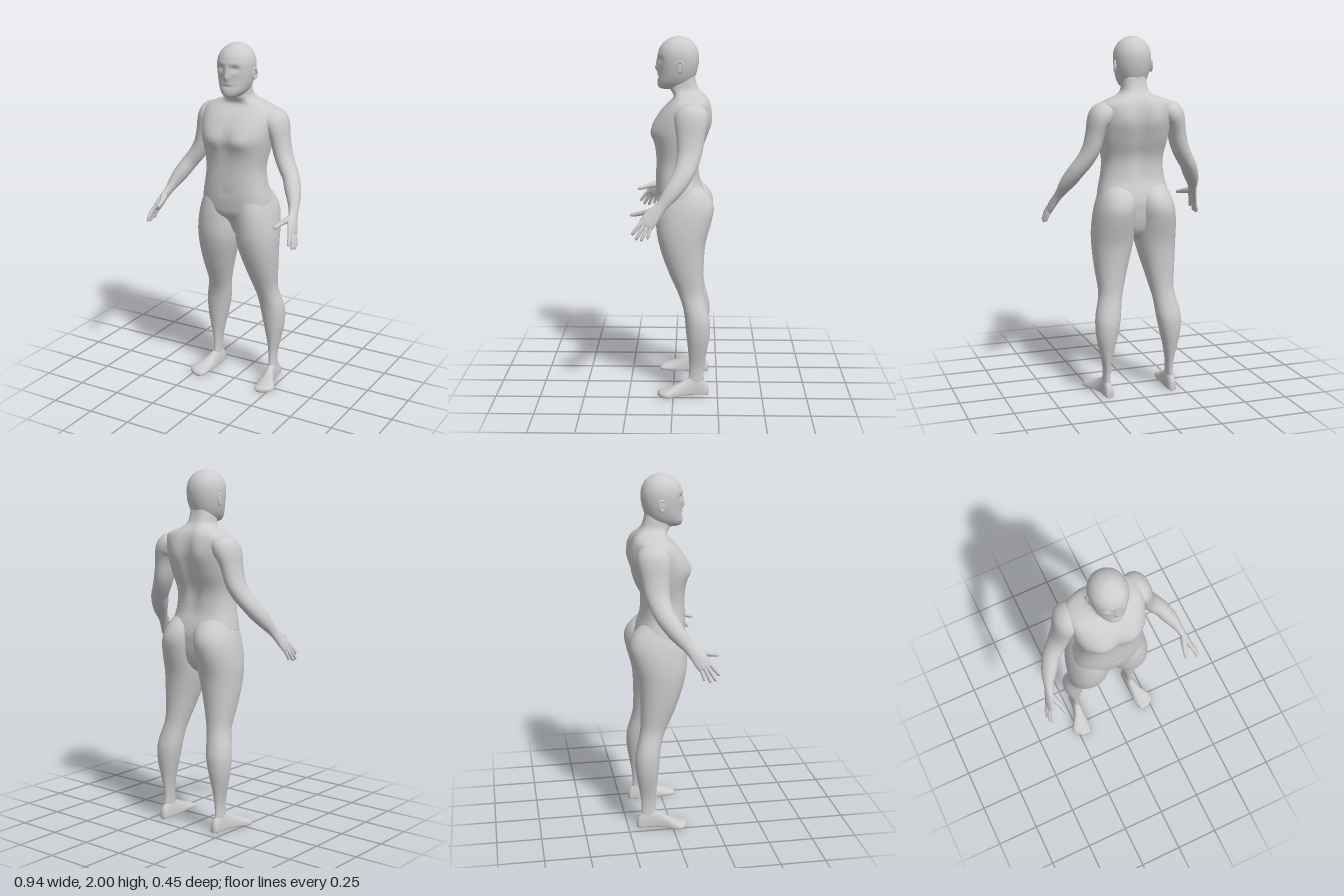
import * as THREE from 'three';

const V = (x, y, z) => new THREE.Vector3(x, y, z);
const bell = (d, width) => Math.exp(-((d / width) ** 2));

// Catmull-Rom refinement of rows of numbers, column by column
function refine(rows, steps) {
  const out = [];
  const at = i => rows[Math.max(0, Math.min(rows.length - 1, i))];
  for (let i = 0; i < rows.length - 1; i++) {
    for (let k = 0; k < steps; k++) {
      const t = k / steps;
      out.push(rows[i].map((b, c) => {
        const a = at(i - 1)[c], d = at(i + 1)[c], e = at(i + 2)[c];
        return 0.5 * (2 * b + (d - a) * t + (2 * a - 5 * b + 4 * d - e) * t * t + (3 * b - a - 3 * d + e) * t ** 3);
      }));
    }
  }
  out.push(rows[rows.length - 1]);
  return out;
}

// Closed skin over a list of rings, with fan caps at both ends
function skin(rings) {
  const n = rings[0].length, m = rings.length, pos = [], idx = [];
  rings.forEach(r => r.forEach(p => pos.push(p.x, p.y, p.z)));
  for (const r of [rings[0], rings[m - 1]]) {
    const c = r.reduce((s, p) => s.add(p), V(0, 0, 0)).divideScalar(n);
    pos.push(c.x, c.y, c.z);
  }
  for (let j = 0; j < n; j++) {
    const k = (j + 1) % n;
    for (let i = 0; i < m - 1; i++) {
      const a = i * n + j, b = i * n + k;
      idx.push(a, a + n, b, b, a + n, b + n);
    }
    idx.push(m * n, j, k, m * n + 1, (m - 1) * n + k, (m - 1) * n + j);
  }
  const g = new THREE.BufferGeometry();
  g.setAttribute('position', new THREE.Float32BufferAttribute(pos, 3));
  g.setIndex(idx);
  g.computeVertexNormals();
  return g;
}

const rounded = (v, e) => Math.sign(v) * Math.abs(v) ** e;

// Horizontal sections, rows of [y, xMin, xMax, zFront, zBack], bottom to top
function stack(rows, steps, n, e, rule) {
  return skin(refine(rows, steps).map(([y, x0, x1, zf, zb]) => Array.from({ length: n }, (_, j) => {
    const t = (j / n) * Math.PI * 2;
    const p = V((x0 + x1) / 2 + (x1 - x0) / 2 * rounded(Math.cos(t), e), y,
      (zf + zb) / 2 + (zf - zb) / 2 * rounded(Math.sin(t), e));
    if (rule) rule(p, Math.sin(t));
    return p;
  })));
}

// Sections across a path, rows of [x, y, z, thickness, depth]
function limb(rows, steps, n) {
  const r = refine(rows, steps), pts = r.map(q => V(q[0], q[1], q[2]));
  return skin(r.map((q, i) => {
    const T = pts[Math.min(i + 1, r.length - 1)].clone().sub(pts[Math.max(i - 1, 0)]).normalize();
    const u = V(0, 0, 1).addScaledVector(T, -T.z).normalize(), v = u.clone().cross(T);
    return Array.from({ length: n }, (_, j) => {
      const t = (j / n) * Math.PI * 2;
      return pts[i].clone().addScaledVector(u, Math.cos(t) * q[4]).addScaledVector(v, Math.sin(t) * q[3]);
    });
  }));
}

function mirrored(g) {
  const m = g.clone().scale(-1, 1, 1), a = m.index.array;
  for (let i = 0; i < a.length; i += 3) [a[i], a[i + 1]] = [a[i + 1], a[i]];
  m.computeVertexNormals();
  return m;
}

export function createModel() {
  const group = new THREE.Group();
  const skinGrey = new THREE.MeshStandardMaterial({ color: 0xcccccc });
  skinGrey.name = 'skin grey';
  const add = (name, g) => {
    const mesh = new THREE.Mesh(g, skinGrey);
    mesh.name = name;
    group.add(mesh);
  };
  const pair = (name, g) => {
    add('left' + name, g);
    add('right' + name, mirrored(g));
  };

  // Torso and neck: half width, front, back
  const torso = [
    [0.88, 0.03, -0.04, -0.1], [0.93, 0.07, 0, -0.15], [1, 0.12, 0.035, -0.17], [1.05, 0.175, 0.085, -0.175],
    [1.1, 0.203, 0.095, -0.178], [1.16, 0.196, 0.1, -0.165], [1.22, 0.182, 0.1, -0.145], [1.3, 0.172, 0.098, -0.14],
    [1.36, 0.178, 0.1, -0.15], [1.42, 0.19, 0.11, -0.175], [1.48, 0.2, 0.124, -0.195], [1.54, 0.207, 0.106, -0.208],
    [1.6, 0.21, 0.065, -0.205], [1.64, 0.2, 0.025, -0.195], [1.665, 0.155, 0.003, -0.182], [1.685, 0.1, 0.005, -0.165],
    [1.71, 0.073, 0.02, -0.142], [1.75, 0.067, 0.025, -0.125], [1.8, 0.06, 0.01, -0.115],
  ].map(([y, w, f, b]) => [y, -w, w, f, b]);
  add('torso', stack(torso, 3, 56, 0.8, (p, s) => {
    if (s > 0) {
      // Chest muscles and the groove between them
      p.z += 0.012 * bell(Math.abs(p.x) - 0.095, 0.05) * bell(p.y - 1.48, 0.045) * s;
      p.z -= 0.014 * bell(p.x, 0.025) * bell(p.y - 1.48, 0.09) * s;
      p.z -= 0.008 * bell(p.x, 0.015) * bell(p.y - 1.18, 0.02) * s;
    } else {
      // Spine groove
      p.z -= 0.026 * bell(p.x, 0.035) * bell(p.y - 1.46, 0.2) * s;
      p.z += 0.01 * bell(Math.abs(p.x) - 0.09, 0.05) * bell(p.y - 1.56, 0.07) * s;
    }
  }));

  // Head with brow, eye sockets, nose and mouth
  const head = [
    [1.712, 0.03, 0.065, -0.04], [1.722, 0.05, 0.085, -0.075], [1.745, 0.071, 0.091, -0.1], [1.78, 0.087, 0.087, -0.117],
    [1.82, 0.097, 0.085, -0.13], [1.86, 0.102, 0.088, -0.137], [1.9, 0.102, 0.087, -0.137], [1.935, 0.093, 0.078, -0.127],
    [1.965, 0.074, 0.055, -0.107], [1.987, 0.046, 0.022, -0.076], [1.997, 0.02, -0.006, -0.046], [2, 0.003, -0.023, -0.03],
  ].map(([y, w, f, b]) => [y, -w, w, f, b]);
  add('head', stack(head, 5, 80, 0.95, (p, s) => {
    if (s < 0.2) return;
    const ax = Math.abs(p.x);
    p.z -= 0.014 * bell(ax - 0.042, 0.02) * bell(p.y - 1.872, 0.016);
    p.z += 0.005 * bell(ax - 0.035, 0.03) * bell(p.y - 1.9, 0.012);
    p.z += 0.017 * bell(p.x, 0.014) * bell(p.y - 1.825, 0.02);
    p.z += 0.008 * bell(p.x, 0.011) * bell(p.y - 1.86, 0.025);
    p.z -= 0.006 * bell(p.x, 0.03) * bell(p.y - 1.776, 0.006);
    p.z += 0.004 * bell(p.x, 0.025) * bell(p.y - 1.788, 0.007);
  }));

  // Ears: hollow rim around a flat bowl
  const ear = new THREE.TorusGeometry(0.017, 0.006, 8, 20).scale(1, 1.55, 1).rotateY(Math.PI / 2 - 0.3);
  pair('EarRim', ear.translate(0.103, 1.838, -0.037));
  pair('EarBowl', new THREE.SphereGeometry(0.017, 14, 10).scale(0.35, 1.5, 1).translate(0.1, 1.838, -0.035));

  // Legs, with the buttocks in the upper sections
  const leg = [
    [0.05, 0.17, 0.212, -0.08, -0.178], [0.12, 0.168, 0.208, -0.09, -0.172], [0.18, 0.164, 0.212, -0.09, -0.177],
    [0.26, 0.149, 0.23, -0.084, -0.19], [0.34, 0.13, 0.246, -0.075, -0.204], [0.42, 0.113, 0.251, -0.067, -0.207],
    [0.48, 0.104, 0.244, -0.06, -0.195], [0.54, 0.096, 0.228, -0.044, -0.18], [0.6, 0.082, 0.22, -0.02, -0.17],
    [0.7, 0.055, 0.23, 0.025, -0.168], [0.8, 0.027, 0.238, 0.063, -0.172], [0.87, 0.01, 0.241, 0.083, -0.18],
    [0.93, 0.004, 0.241, 0.094, -0.195], [1, 0.002, 0.235, 0.097, -0.214], [1.07, 0, 0.222, 0.094, -0.223],
    [1.14, 0.002, 0.198, 0.082, -0.192], [1.21, 0.03, 0.165, 0.05, -0.11],
  ];
  pair('Leg', stack(leg, 3, 36, 0.93));

  // Feet: rows of [z, xMin, xMax, height] from heel to toes, flat soles
  const foot = [
    [-0.2, 0.182, 0.198, 0.035], [-0.19, 0.167, 0.211, 0.065], [-0.15, 0.162, 0.216, 0.1], [-0.1, 0.162, 0.22, 0.1],
    [-0.05, 0.163, 0.238, 0.076], [0, 0.165, 0.268, 0.055], [0.03, 0.166, 0.28, 0.043], [0.055, 0.17, 0.272, 0.035],
    [0.075, 0.176, 0.25, 0.029], [0.088, 0.188, 0.222, 0.016],
  ];
  pair('Foot', skin(refine(foot, 3).map(([z, x0, x1, h]) => Array.from({ length: 28 }, (_, j) => {
    const t = (j / 28) * Math.PI * 2, up = -Math.sin(t);
    const y = up > 0 ? 0.014 + (h - 0.014) * up : 0.014 * (1 - rounded(-up, 0.5));
    return V((x0 + x1) / 2 + (x1 - x0) / 2 * rounded(Math.cos(t), 0.85), y, z);
  }))));

  // Arms from inside the shoulder to the palm
  pair('Arm', limb([
    [0.13, 1.6, -0.1, 0.035, 0.05], [0.165, 1.595, -0.1, 0.058, 0.08], [0.2, 1.575, -0.098, 0.069, 0.092],
    [0.222, 1.535, -0.096, 0.058, 0.088], [0.236, 1.48, -0.094, 0.05, 0.077], [0.256, 1.4, -0.09, 0.048, 0.068],
    [0.288, 1.335, -0.075, 0.046, 0.06], [0.326, 1.28, -0.052, 0.044, 0.054], [0.354, 1.23, -0.018, 0.043, 0.05],
    [0.378, 1.185, 0.015, 0.036, 0.042], [0.398, 1.135, 0.055, 0.024, 0.031], [0.412, 1.1, 0.088, 0.02, 0.036],
    [0.425, 1.065, 0.118, 0.018, 0.043], [0.435, 1.037, 0.138, 0.014, 0.041], [0.438, 1.027, 0.144, 0.007, 0.03],
  ], 3, 28));

  // Fingers and thumb: base, tip, radius
  const digits = {
    IndexFinger: [0.428, 1.055, 0.16, 0.448, 0.987, 0.213, 0.0105],
    MiddleFinger: [0.434, 1.043, 0.147, 0.462, 0.963, 0.192, 0.011],
    RingFinger: [0.436, 1.035, 0.132, 0.466, 0.957, 0.163, 0.0105],
    LittleFinger: [0.433, 1.035, 0.112, 0.459, 0.967, 0.13, 0.0095],
  };
  for (const [name, [x, y, z, a, b, c, r]] of Object.entries(digits)) {
    const rows = [[0, 1], [0.35, 1], [0.7, 0.9], [0.93, 0.75], [1, 0.25]].map(([t, k]) =>
      [x + (a - x) * t + 0.004 * Math.sin(t * Math.PI), y + (b - y) * t, z + (c - z) * t, r * k, r * k]);
    pair(name, limb(rows, 2, 12));
  }
  pair('Thumb', limb([
    [0.412, 1.115, 0.08, 0.014, 0.018], [0.397, 1.1, 0.125, 0.017, 0.02], [0.382, 1.09, 0.165, 0.013, 0.013],
    [0.373, 1.081, 0.2, 0.011, 0.011], [0.369, 1.077, 0.217, 0.009, 0.009], [0.367, 1.075, 0.223, 0.003, 0.003],
  ], 2, 14));

  return group;
}
